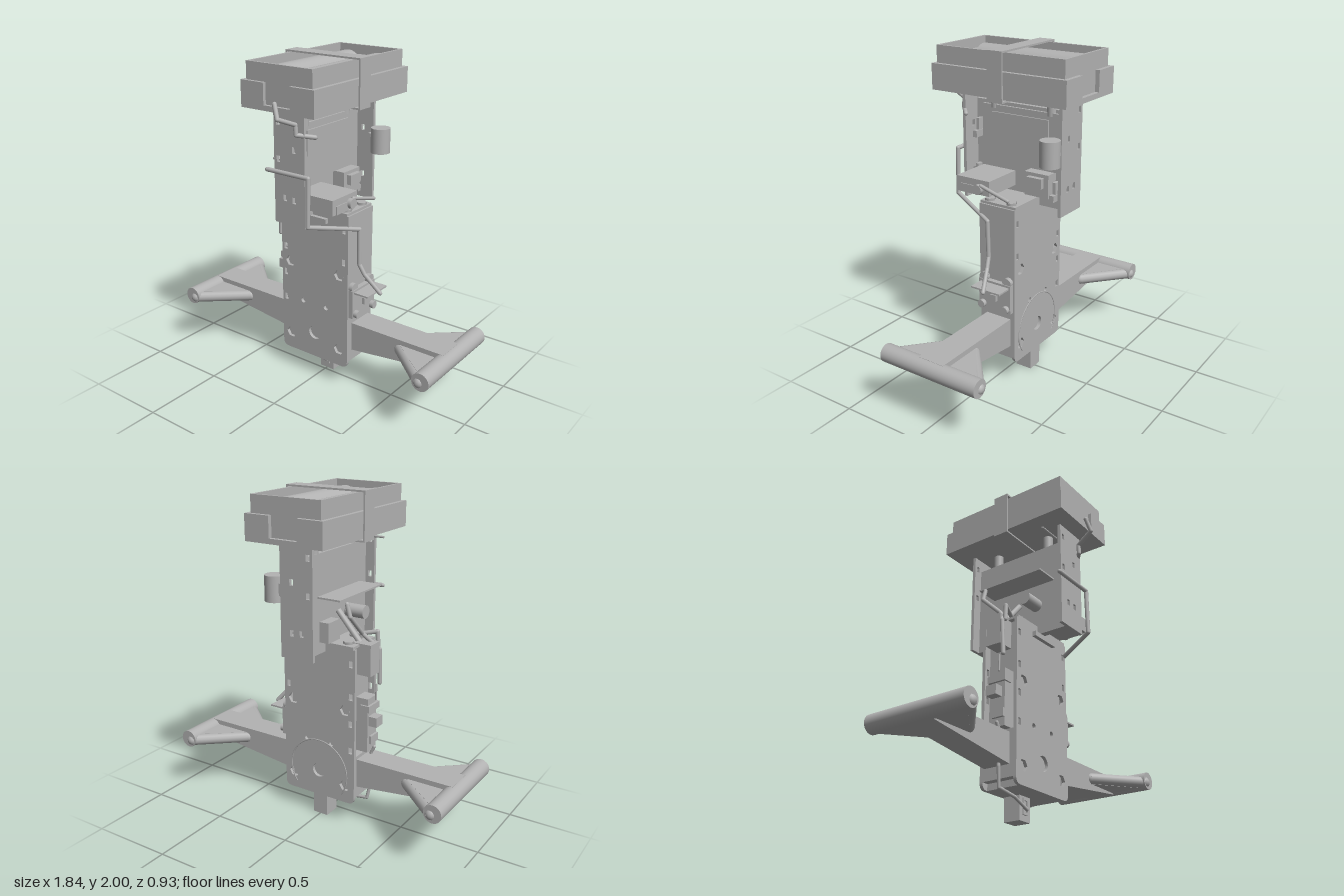
import * as THREE from 'three';
import { mergeGeometries } from 'three/addons/utils/BufferGeometryUtils.js';

const grey = new THREE.MeshStandardMaterial({ color: 0xb2b2b2 });
grey.name = 'plain grey';

export function createModel() {
  const root = new THREE.Group();
  root.name = 'hoverFrame';

  const add = (name, geo) => {
    const m = new THREE.Mesh(geo, grey);
    m.name = name;
    root.add(m);
    return m;
  };
  // box given by its limits
  const box = (name, x0, x1, y0, y1, z0, z1) =>
    add(name, new THREE.BoxGeometry(x1 - x0, y1 - y0, z1 - z0)
      .translate((x0 + x1) / 2, (y0 + y1) / 2, (z0 + z1) / 2));
  // cylinder between two points
  const rodGeo = (a, b, r, n = 24) => {
    const p = new THREE.Vector3(...a), q = new THREE.Vector3(...b), d = q.clone().sub(p);
    const g = new THREE.CylinderGeometry(r, r, d.length(), n);
    g.applyQuaternion(new THREE.Quaternion().setFromUnitVectors(new THREE.Vector3(0, 1, 0), d.normalize()));
    return g.translate(...p.add(q).multiplyScalar(0.5).toArray());
  };
  const rod = (name, a, b, r, n) => add(name, rodGeo(a, b, r, n));
  // bent pipe: straight runs with ball joints
  const pipe = (name, pts, r = 0.013) => {
    const parts = [];
    pts.forEach((p, i) => {
      parts.push(new THREE.SphereGeometry(r, 12, 8).translate(...p));
      if (i) parts.push(rodGeo(pts[i - 1], p, r, 12));
    });
    return add(name, mergeGeometries(parts));
  };
  const rectPath = (x0, x1, y0, y1, C = THREE.Path) => {
    const s = new C();
    s.moveTo(x0, y0); s.lineTo(x1, y0); s.lineTo(x1, y1); s.lineTo(x0, y1); s.closePath();
    return s;
  };
  const ringPath = (x, y, r, n) => {
    const pts = [];
    for (let i = 0; i < n; i++) {
      const a = (i / n) * Math.PI * 2;
      pts.push(new THREE.Vector2(x + r * Math.cos(a), y + r * Math.sin(a)));
    }
    return new THREE.Path(pts);
  };
  const plate = (name, shape, z0, z1) =>
    add(name, new THREE.ExtrudeGeometry(shape, { depth: z1 - z0, bevelEnabled: false, curveSegments: 8 })
      .translate(0, 0, z0));

  // --- body: slotted face plates around a solid core
  const bodyShape = () => {
    const s = new THREE.Shape(), r = 0.04;
    s.moveTo(-0.25 + r, 0.14); s.lineTo(0.245 - r, 0.14);
    s.quadraticCurveTo(0.245, 0.14, 0.245, 0.14 + r);
    s.lineTo(0.245, 1.12); s.lineTo(-0.25, 1.12); s.lineTo(-0.25, 0.14 + r);
    s.quadraticCurveTo(-0.25, 0.14, -0.25 + r, 0.14);
    for (const y of [0.49, 0.66, 0.83, 1.03]) s.holes.push(rectPath(-0.234, -0.21, y - 0.02, y + 0.02));
    for (const y of [0.83, 1.03]) s.holes.push(rectPath(0.204, 0.226, y - 0.02, y + 0.02));
    for (const x of [-0.185, 0.182]) for (const y of [0.25, 0.74]) s.holes.push(ringPath(x, y, 0.036, 6));
    for (const x of [-0.088, 0.085]) s.holes.push(ringPath(x, 0.5, 0.016, 16));
    s.holes.push(ringPath(0, 0.305, 0.045, 32));
    return s;
  };
  plate('bodyFrontPlate', bodyShape(), 0.085, 0.105);
  plate('bodyBackPlate', bodyShape(), -0.14, -0.12);
  box('bodyCore', -0.205, 0.2, 0.16, 1.12, -0.12, 0.085);
  box('bodySideWall', 0.228, 0.245, 0.18, 1.12, -0.12, 0.085);
  box('bodyFloor', -0.21, 0.205, 0.14, 0.16, -0.12, 0.085);
  box('bodyLowerLeftWall', -0.25, -0.205, 0.18, 0.45, -0.12, 0.085);
  box('bodyTopCap', -0.235, 0.235, 1.12, 1.135, -0.14, 0.105);
  for (const x of [-0.175, 0.2]) for (const z of [-0.09, 0.06])
    rod('topBolt', [x, 1.13, z], [x, 1.15, z], 0.032, 6);
  const arc = add('dialLine', new THREE.TorusGeometry(0.2, 0.004, 6, 48, Math.PI * 1.4));
  arc.rotation.z = -Math.PI * 0.2;
  arc.position.set(0, 0.305, -0.14);

  // --- foot block under the body
  box('footBlock', -0.05, 0.05, 0, 0.14, -0.125, -0.02);
  plate('footFrame', (() => {
    const s = rectPath(-0.022, 0.022, 0.035, 0.13, THREE.Shape);
    s.holes.push(rectPath(-0.012, 0.012, 0.05, 0.115));
    return s;
  })(), -0.02, -0.012);

  // --- side arms with end rails and gussets
  for (const s of [-1, 1]) {
    const arm = new THREE.Shape();
    arm.moveTo(s * 0.2, 0.43); arm.lineTo(s * 0.87, 0.43);
    arm.lineTo(s * 0.87, 0.325); arm.lineTo(s * 0.2, 0.245);
    plate('arm', arm, -0.11, 0.06);
    rod('endRail', [s * 0.865, 0.375, -0.35], [s * 0.865, 0.375, 0.3], 0.054, 40);
    for (const [zi, zo] of [[0.05, 0.28], [-0.1, -0.33]]) {
      const g = new THREE.Shape();
      g.moveTo(s * 0.57, zi); g.lineTo(s * 0.86, zo); g.lineTo(s * 0.86, zi);
      add('gusset', new THREE.ExtrudeGeometry(g, { depth: 0.07, bevelEnabled: false })
        .rotateX(Math.PI / 2).translate(0, 0.4, 0));
      pipe('gussetEdge', [[s * 0.585, 0.365, zi], [s * 0.85, 0.365, zo]], 0.035);
    }
  }

  // --- tower: two slotted end plates and a central web
  const towerShape = () => {
    const s = rectPath(-0.11, 0.105, 1.08, 1.74, THREE.Shape);
    for (const [x, y] of [[0.03, 1.52], [-0.08, 1.665], [-0.08, 1.455], [-0.035, 1.235], [0.03, 1.23]])
      s.holes.push(rectPath(x - 0.012, x + 0.012, y - 0.018, y + 0.018));
    return s;
  };
  plate('towerFrontPlate', towerShape(), 0.3, 0.32);
  plate('towerBackPlate', towerShape(), -0.355, -0.335);
  box('towerWeb', -0.05, -0.01, 1.08, 1.66, -0.335, 0.3);
  box('circuitBoard', -0.01, 0.005, 1.3, 1.64, -0.29, 0.25);
  box('boardCover', 0.005, 0.015, 1.45, 1.6, -0.21, 0.18);
  box('towerFoot', -0.1, 0.1, 1.05, 1.08, 0.105, 0.13);
  for (const z of [0.17, -0.215]) rod('towerPost', [-0.02, 1.62, z], [-0.02, 1.75, z], 0.03);
  for (const [y, z] of [[1.46, 0.27], [1.18, 0.28], [1.16, -0.265]]) {
    box('clip', -0.01, 0.06, y - 0.02, y + 0.02, z - 0.014, z + 0.014);
    box('clipPin', -0.01, 0.03, y + 0.02, y + 0.09, z - 0.01, z + 0.01);
  }
  // tower side fittings
  box('switchBlock', -0.01, 0.25, 1.17, 1.26, 0.03, 0.26);
  rod('switchTip', [0.24, 1.205, 0.1], [0.275, 1.205, 0.1], 0.03, 16);
  box('switchFace', 0.25, 0.256, 1.17, 1.22, 0.12, 0.23);
  box('relayBlock', -0.01, 0.07, 1.16, 1.3, -0.25, -0.09);
  box('relayCap', 0.07, 0.1, 1.22, 1.28, -0.22, -0.12);
  rod('canister', [0.168, 1.39, -0.32], [0.168, 1.54, -0.32], 0.058, 32);
  box('canisterMount', 0.09, 0.14, 1.43, 1.5, -0.35, -0.3);
  rod('leftKnob', [-0.05, 1.275, 0.1], [-0.175, 1.275, 0.1], 0.04, 24);
  box('leftRelay', -0.11, -0.05, 1.15, 1.27, -0.2, -0.08);
  box('leftShelf', -0.2, -0.05, 1.41, 1.42, -0.22, 0.23);
  rod('upperPin', [-0.2, 1.695, 0.25], [-0.05, 1.695, 0.25], 0.007, 8);
  rod('leftStrut', [-0.06, 1.3, -0.02], [-0.21, 1.13, -0.02], 0.018, 8);

  // --- battery box
  box('trayFloor', -0.25, 0.25, 1.74, 1.765, -0.465, 0.42);
  for (const s of [-1, 1]) {
    const [a, b] = s < 0 ? [-0.25, -0.225] : [0.225, 0.25];
    box('outerSide', a, b, 1.765, 1.89, -0.465, 0.42);
    const [c, d] = s < 0 ? [-0.225, -0.21] : [0.21, 0.225];
    box('innerSide', c, d, 1.765, 1.99, -0.44, 0.4);
    rod('batteryCell', [s * 0.108, 1.868, -0.37], [s * 0.108, 1.868, 0.32], 0.097, 40);
  }
  const notched = () => {
    const s = new THREE.Shape();
    [[-0.225, 1.765], [0.225, 1.765], [0.225, 1.89], [0.09, 1.89], [0.09, 1.77], [-0.09, 1.77], [-0.09, 1.89], [-0.225, 1.89]]
      .forEach(([x, y], i) => (i ? s.lineTo(x, y) : s.moveTo(x, y)));
    return s;
  };
  plate('outerFront', notched(), 0.4, 0.42);
  plate('outerBack', notched(), -0.465, -0.44);
  box('innerFront', -0.21, 0.21, 1.765, 1.99, 0.385, 0.4);
  box('innerBack', -0.21, 0.21, 1.765, 1.99, -0.44, -0.425);
  box('cellStopFront', -0.21, 0.21, 1.765, 1.94, 0.32, 0.345);
  box('cellStopBack', -0.21, 0.21, 1.765, 1.94, -0.395, -0.37);
  box('cellDivider', -0.008, 0.008, 1.765, 1.89, -0.37, 0.32);
  const strap = rectPath(-0.26, 0.26, 1.72, 2, THREE.Shape);
  strap.holes.push(rectPath(-0.25, 0.25, 1.73, 1.99));
  plate('strap', strap, -0.07, 0.03);

  // --- right side fittings on the body
  box('sidePanel', 0.245, 0.275, 0.48, 0.66, -0.13, 0.095);
  box('sideShelf', 0.245, 0.37, 0.637, 0.647, -0.12, 0.08);
  box('sideButton', 0.275, 0.295, 0.545, 0.585, -0.04, 0);
  for (const z of [0.065, -0.1]) {
    rod('lowerStud', [0.245, 0.505, z], [0.3, 0.505, z], 0.024, 16);
    rod('upperStud', [0.24, 0.67, z], [0.27, 0.67, z], 0.03, 16);
  }

  // --- left side fittings on the body
  box('leftPanel', -0.285, -0.2, 0.46, 0.8, -0.05, 0.05);
  box('leftConnector', -0.34, -0.285, 0.63, 0.69, -0.04, 0.03);
  box('leftSmallBlock', -0.3, -0.24, 0.72, 0.76, -0.06, 0.06);
  box('leftLowBlock', -0.3, -0.24, 0.51, 0.56, -0.03, 0.05);
  box('leftUpperBox', -0.31, -0.2, 0.95, 1.14, -0.07, 0.03);
  rod('leftPin', [-0.3, 0.78, 0.02], [-0.3, 0.88, 0.02], 0.006, 8);

  // --- pipes and cables
  pipe('frontPipe', [[-0.15, 1.385, 0.335], [0.14, 1.385, 0.335], [0.14, 1.105, 0.34],
    [0.27, 1.03, 0.03], [0.27, 0.81, 0.025], [0.3, 0.75, 0.015], [0.39, 0.64, -0.02]]);
  pipe('batteryCable', [[0, 1.79, 0.435], [0.03, 1.715, 0.45], [0.06, 1.67, 0.34],
    [0.065, 1.615, 0.34], [0.14, 1.6, 0.27]]);
  pipe('leftPipe', [[-0.21, 1.39, -0.165], [-0.23, 1.32, -0.165], [-0.23, 1.19, -0.03],
    [-0.305, 1.09, 0.04], [-0.305, 0.88, 0.05]]);
  pipe('leftCable', [[-0.29, 1.1, 0.05], [-0.285, 1.19, 0.05], [-0.14, 1.16, 0]]);
  pipe('rightCable', [[0.26, 1.23, 0.08], [0.27, 1.18, -0.11]], 0.011);
  pipe('footCable', [[-0.3, 0.48, 0.01], [-0.28, 0.44, 0.01], [-0.28, 0.24, 0.01],
    [-0.26, 0.13, 0], [-0.12, 0.11, 0], [0, 0.065, -0.005]], 0.01);

  return root;
}
